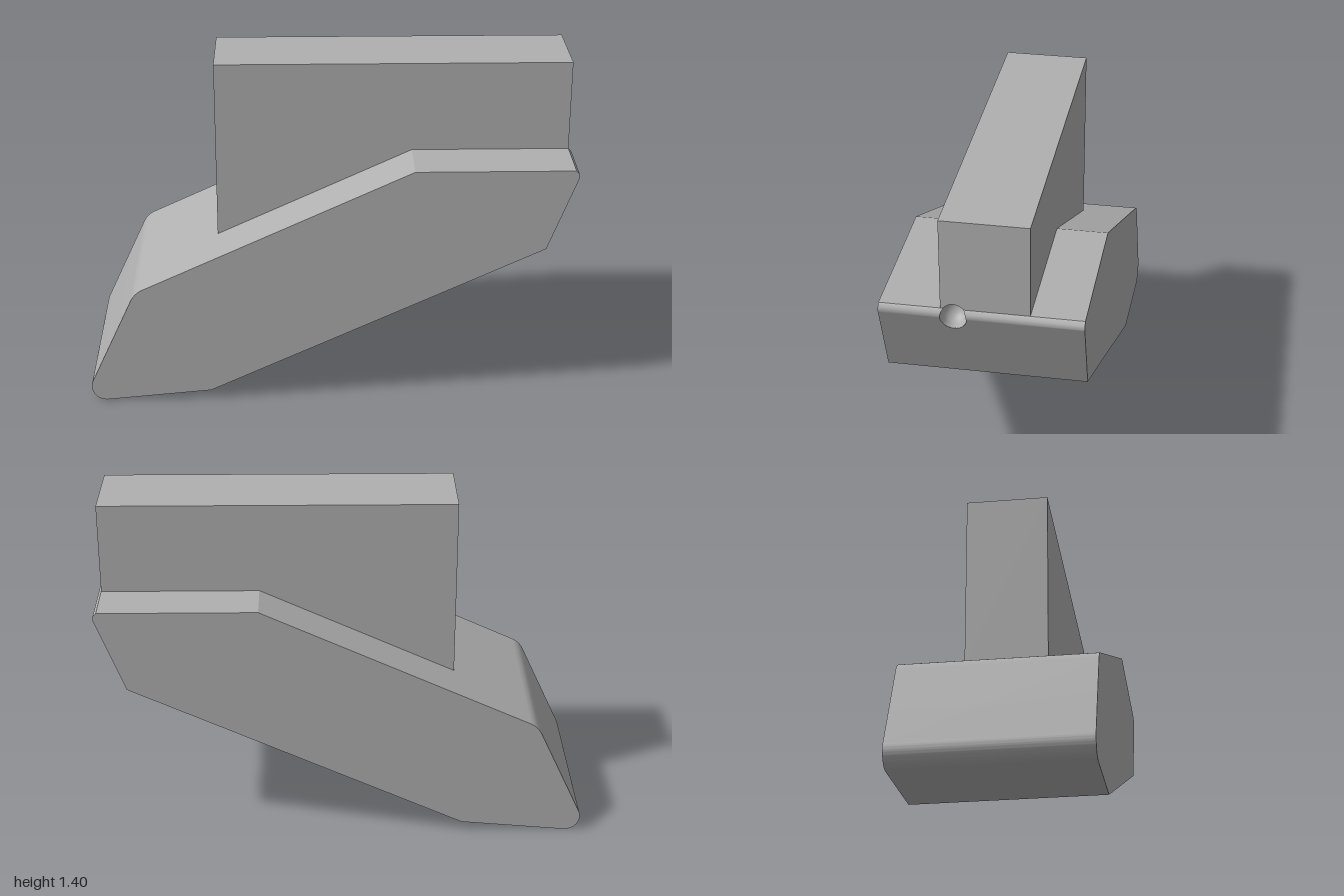
import * as THREE from 'three';
import { toCreasedNormals } from 'three/addons/utils/BufferGeometryUtils.js';

const HALF = 0.39;                       // half width of the body
const FIN = { z0: -0.185, z1: 0.155 };   // fin faces
const HOLE = { y: 0.995, z: 0.105, r: 0.05, ry: 0.055 };
// end outline from bottom to top: [x, y]
const END = [[0.88, 0.685], [1, 1], [0.998, 1.016], [0.985, 1.03], [0.985, 1.405]];

function endX(y) {
  for (let i = 1; i < END.length; i++) {
    const [xa, ya] = END[i - 1], [xb, yb] = END[i];
    if (y <= yb) return xa + (xb - xa) * (y - ya) / (yb - ya);
  }
  return 0.985;
}

// Geometry from a plain triangle soup
function fromPositions(list, crease = 0.3) {
  const g = new THREE.BufferGeometry();
  g.setAttribute('position', new THREE.Float32BufferAttribute(list, 3));
  return toCreasedNormals(g, crease);
}

function quad(out, a, b, c, d) {
  out.push(...a, ...b, ...c, ...a, ...c, ...d);
}

// Extrude along z, leaving open the faces whose normal the rule rejects
function openExtrude(shape, z0, z1, rejects) {
  const g = new THREE.ExtrudeGeometry(shape, { depth: z1 - z0, bevelEnabled: false, curveSegments: 16 });
  g.translate(0, 0, z0);
  const p = g.toNonIndexed ? (g.index ? g.toNonIndexed() : g).attributes.position : null;
  const out = [], tri = new THREE.Triangle(), n = new THREE.Vector3();
  for (let i = 0; i < p.count; i += 3) {
    tri.setFromAttributeAndIndices(p, i, i + 1, i + 2);
    tri.getNormal(n);
    if (!rejects(n)) for (const v of [tri.a, tri.b, tri.c]) out.push(v.x, v.y, v.z);
  }
  return out;
}

// One band of the end face, cut by the round hole
function endBand(out, i, z0, z1) {
  const y0 = END[i][1], y1 = END[i + 1][1];
  const zs = [z0];
  for (let k = 0; k <= 32; k++) zs.push(HOLE.z - HOLE.r * Math.cos(Math.PI * k / 32));
  zs.push(z1);
  const half = z => HOLE.ry * Math.sqrt(Math.max(0, 1 - ((z - HOLE.z) / HOLE.r) ** 2));
  const at = (y, z) => [endX(y), y, z];
  const clamp = y => Math.min(y1, Math.max(y0, y));
  for (let k = 1; k < zs.length; k++) {
    const a = zs[k - 1], b = zs[k];
    if (b - a < 1e-6) continue;
    const la = clamp(HOLE.y - half(a)), lb = clamp(HOLE.y - half(b));
    const ua = clamp(HOLE.y + half(a)), ub = clamp(HOLE.y + half(b));
    if (la > y0 || lb > y0) quad(out, at(y0, a), at(la, a), at(lb, b), at(y0, b));
    if (ua < y1 || ub < y1) quad(out, at(ua, a), at(y1, a), at(y1, b), at(ub, b));
  }
}

// Round-ended pocket behind the hole, facing inward
function pocketGeometry() {
  const rings = 9, sides = 32, pos = [], idx = [];
  for (let i = 0; i <= rings; i++) {
    const phi = Math.max(0, i - 1) / (rings - 1) * Math.PI / 2;
    for (let j = 0; j <= sides; j++) {
      const t = j / sides * Math.PI * 2;
      const y = HOLE.y + HOLE.ry * Math.cos(phi) * Math.sin(t);
      const z = HOLE.z + HOLE.r * Math.cos(phi) * Math.cos(t);
      pos.push(i === 0 ? endX(y) : 0.95 - 0.05 * Math.sin(phi), y, z);
    }
  }
  const w = sides + 1;
  for (let i = 0; i < rings; i++) for (let j = 0; j < sides; j++) {
    const a = i * w + j, b = a + 1, c = a + w, d = c + 1;
    idx.push(a, c, b, b, c, d);
  }
  const g = new THREE.BufferGeometry();
  g.setAttribute('position', new THREE.Float32BufferAttribute(pos, 3));
  g.setIndex(idx);
  g.computeVertexNormals();
  return g;
}

export function createModel() {
  const group = new THREE.Group();
  const grey = new THREE.MeshStandardMaterial({ color: 0xb0b0b0 });
  grey.name = 'grey';
  const add = (name, geometry) => {
    const m = new THREE.Mesh(geometry, grey);
    m.name = name;
    group.add(m);
  };

  // Slanted body with rounded nose
  const body = new THREE.Shape();
  body.moveTo(0.34, 1.03);
  body.lineTo(-0.77, 0.514);
  body.quadraticCurveTo(-0.805, 0.498, -0.822, 0.46);
  body.absarc(-0.938, 0.062, 0.062, 2.7, 4.8, false);
  body.lineTo(-0.5, 0.04);
  for (const [x, y] of END.slice(0, 4)) body.lineTo(x, y);
  body.closePath();
  const bodyFaces = openExtrude(body, -HALF, HALF, n => n.x > 0.5 || n.y > 0.999);
  // Flat ledges on both sides of the fin
  for (const [a, b] of [[-HALF, FIN.z0], [FIN.z1, HALF]]) {
    quad(bodyFaces, [0.34, 1.03, a], [0.34, 1.03, b], [0.985, 1.03, b], [0.985, 1.03, a]);
  }
  add('body', fromPositions(bodyFaces));

  // Sloped end of the body with its rounded top edge
  const bodyEnd = [];
  for (let i = 0; i < 3; i++) endBand(bodyEnd, i, -HALF, HALF);
  add('bodyEnd', fromPositions(bodyEnd, 0.8));

  // Upright fin standing on the body
  const fin = new THREE.Shape([
    [-0.465, 0.656], [0.34, 1.03], [0.985, 1.03], [0.985, 1.405], [-0.465, 1.405],
  ].map(([x, y]) => new THREE.Vector2(x, y)));
  const finFaces = openExtrude(fin, FIN.z0, FIN.z1, n => n.x > 0.5 || n.y < -0.5);
  endBand(finFaces, 3, FIN.z0, FIN.z1);
  add('fin', fromPositions(finFaces));

  // Round hole in the end
  add('holePocket', pocketGeometry());
  return group;
}
